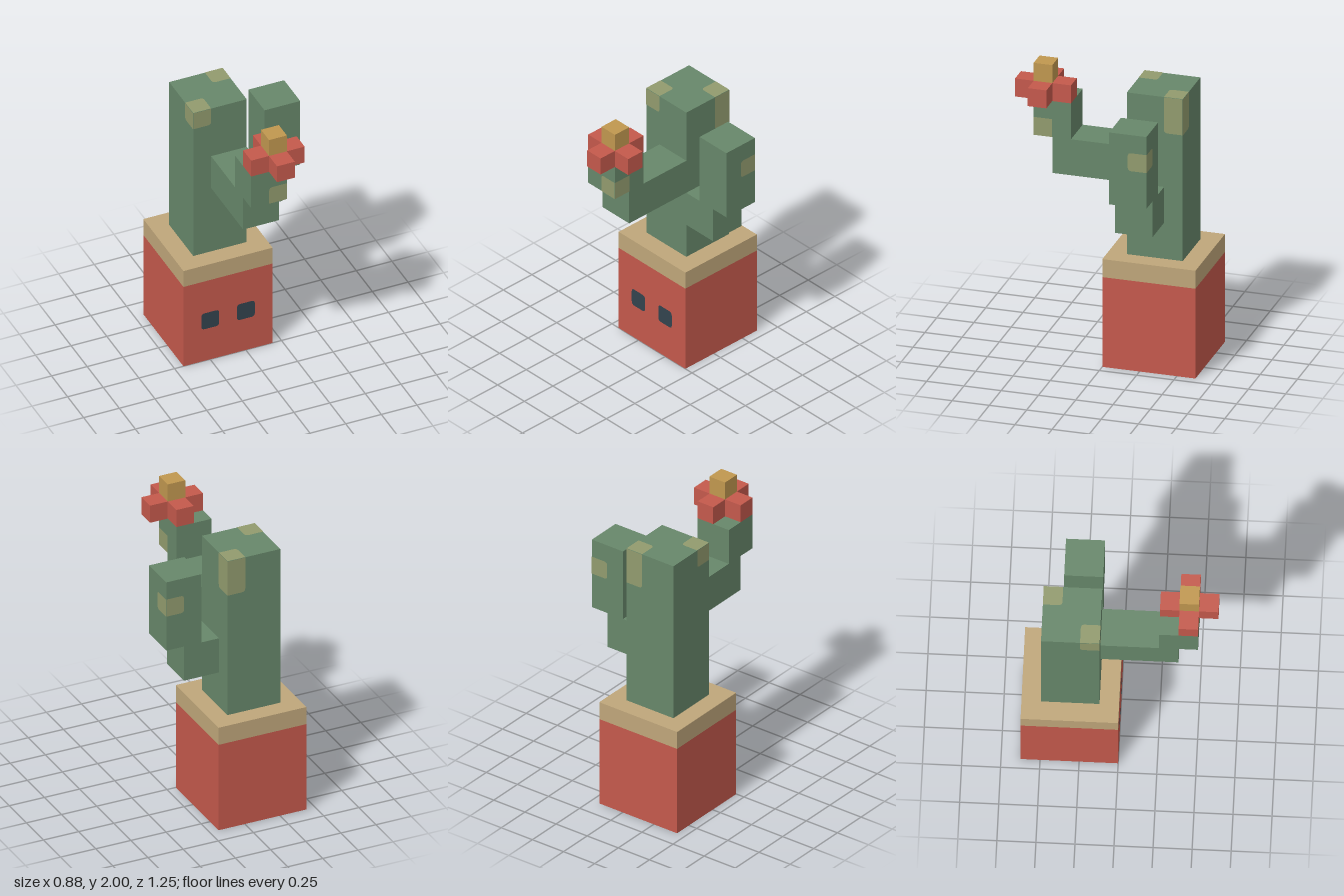
import * as THREE from 'three';

const U = 1 / 16; // block unit

const flat = (name, color) => {
  const m = new THREE.MeshStandardMaterial({ color });
  m.name = name;
  return m;
};

// Block given by its min and max corners, in block units
function block(name, material, min, max) {
  const size = max.map((v, i) => (v - min[i]) * U);
  const mesh = new THREE.Mesh(new THREE.BoxGeometry(...size), material);
  mesh.position.set(...max.map((v, i) => ((v + min[i]) / 2) * U));
  mesh.name = name;
  return mesh;
}

const FACES = {
  front: { rot: [0, 0, 0], normal: [0, 0, 1] },
  back: { rot: [0, Math.PI, 0], normal: [0, 0, -1] },
  left: { rot: [0, Math.PI / 2, 0], normal: [1, 0, 0] },
  right: { rot: [0, -Math.PI / 2, 0], normal: [-1, 0, 0] },
  top: { rot: [-Math.PI / 2, 0, 0], normal: [0, 1, 0] },
  bottom: { rot: [Math.PI / 2, 0, 0], normal: [0, -1, 0] },
};

// Thin painted patch; round lists the rounded corners [bottomLeft, bottomRight, topRight, topLeft]
function patch(name, material, face, centre, w, h, round) {
  const x = (w * U) / 2, y = (h * U) / 2;
  const [bl, br, tr, tl] = round.map((r) => r * 0.024);
  const s = new THREE.Shape();
  s.moveTo(-x + bl, -y);
  s.lineTo(x - br, -y);
  s.quadraticCurveTo(x, -y, x, -y + br);
  s.lineTo(x, y - tr);
  s.quadraticCurveTo(x, y, x - tr, y);
  s.lineTo(-x + tl, y);
  s.quadraticCurveTo(-x, y, -x, y - tl);
  s.lineTo(-x, -y + bl);
  s.quadraticCurveTo(-x, -y, -x + bl, -y);
  const mesh = new THREE.Mesh(new THREE.ShapeGeometry(s, 4), material);
  const { rot, normal } = FACES[face];
  mesh.rotation.set(...rot);
  mesh.position.set(...centre.map((v, i) => v * U + normal[i] * 0.002));
  mesh.name = name;
  return mesh;
}

export function createModel() {
  const red = flat('red', 0xc4594c);
  const sand = flat('sand', 0xbfa67a);
  const green = flat('cactus green', 0x67876a);
  const olive = flat('olive', 0x929b6e);
  const slate = flat('slate', 0x33434e);
  const gold = flat('gold', 0xc0974f);

  const model = new THREE.Group();
  model.name = 'pottedCactus';

  // Pot with sandy rim and two eyes
  const pot = new THREE.Group();
  pot.name = 'pot';
  pot.add(
    block('potBody', red, [-7, 0, -10], [3, 10, 0]),
    block('potRim', sand, [-7, 10, -10], [3, 12, 0]),
  );
  for (const x of [-4, 0]) pot.add(patch('eye', slate, 'front', [x, 5, 0], 2, 2, [1, 1, 1, 1]));

  // Trunk and two bent arms
  const cactus = new THREE.Group();
  cactus.name = 'cactus';
  cactus.add(
    block('trunk', green, [-5, 12, -8], [1, 30, -2]),
    block('sideArm', green, [1, 16, -6], [5, 20, -2]),
    block('sideArmTip', green, [3, 20, -6], [7, 28, -2]),
    block('frontArm', green, [-3, 20, -2], [1, 24, 6]),
    block('frontArmTip', green, [-3, 24, 4], [1, 28, 8]),
  );

  // Olive patches wrapped around block corners
  const patches = [
    ['trunkPatch', 'top', [-4, 30, -3], 2, 2, [0, 0, 1, 0]],
    ['trunkPatch', 'front', [-4, 29, -2], 2, 2, [0, 1, 0, 0]],
    ['trunkPatch', 'right', [-5, 29, -3], 2, 2, [1, 0, 0, 0]],
    ['trunkBackPatch', 'top', [0, 30, -7], 2, 2, [1, 0, 0, 0]],
    ['trunkBackPatch', 'left', [1, 28, -7], 2, 4, [1, 0, 0, 0]],
    ['trunkBackPatch', 'back', [0, 28, -8], 2, 4, [0, 1, 0, 0]],
    ['frontArmPatch', 'front', [0, 25, 8], 2, 2, [0, 0, 0, 1]],
    ['frontArmPatch', 'left', [1, 25, 7], 2, 2, [0, 0, 0, 0]],
    ['frontArmPatch', 'bottom', [0, 24, 7], 2, 2, [0, 0, 0, 0]],
    ['sideArmPatch', 'left', [7, 25, -5], 2, 2, [1, 0, 0, 1]],
    ['sideArmPatch', 'back', [6, 25, -6], 2, 2, [0, 1, 1, 0]],
  ];
  for (const [name, ...rest] of patches) cactus.add(patch(name, olive, ...rest));

  // Flower: four petals around a raised centre
  const flower = new THREE.Group();
  flower.name = 'flower';
  flower.add(block('flowerCentre', gold, [-1, 28, 6], [1, 32, 8]));
  for (const [dx, dz] of [[2, 0], [-2, 0], [0, 2], [0, -2]]) {
    flower.add(block('petal', red, [dx - 1, 28, dz + 6], [dx + 1, 30, dz + 8]));
  }

  model.add(pot, cactus, flower);
  return model;
}
